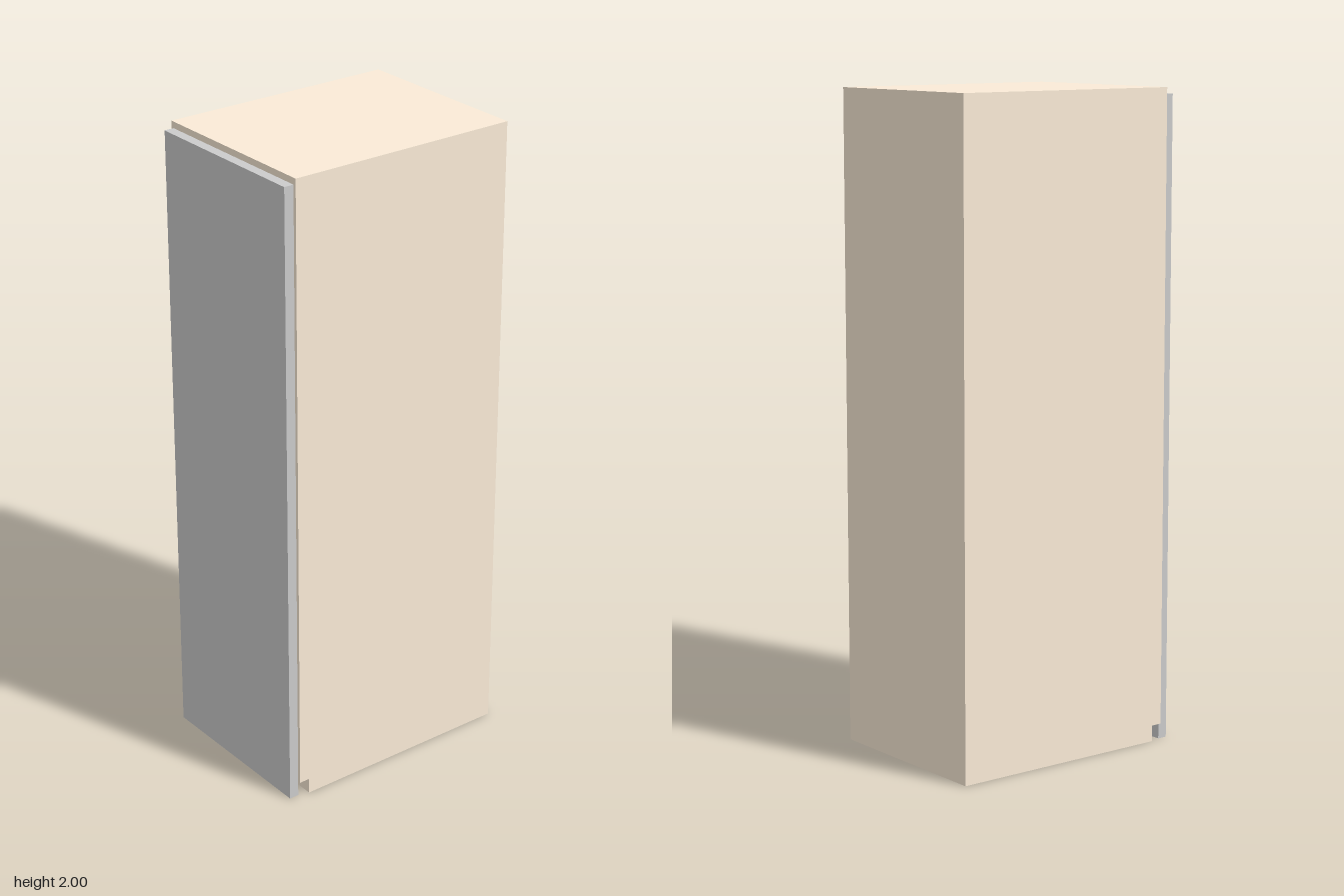
import * as THREE from 'three';

const HALF_W = 0.295, BACK = -0.393, FRONT = 0.362, DOOR_FRONT = 0.393;
const HEIGHT = 2, KICK_Z = 0.328, KICK_H = 0.05;

export function createModel() {
  const group = new THREE.Group();
  const tan = new THREE.MeshStandardMaterial({ color: 0xfaebd7 });
  const grey = new THREE.MeshStandardMaterial({ color: 0xcccccc });

  // Cabinet side profile (z, y) with the toe-kick notch, extruded across the width
  const profile = new THREE.Shape([
    [BACK, 0], [KICK_Z, 0], [KICK_Z, KICK_H],
    [FRONT, KICK_H], [FRONT, HEIGHT], [BACK, HEIGHT],
  ].map(([z, y]) => new THREE.Vector2(z, y)));
  const bodyGeometry = new THREE.ExtrudeGeometry(profile, { depth: 2 * HALF_W, bevelEnabled: false });
  bodyGeometry.translate(0, 0, -HALF_W).rotateY(-Math.PI / 2);
  const body = new THREE.Mesh(bodyGeometry, tan);
  body.name = 'cabinetBody';
  group.add(body);

  // Front door, slightly narrower and lower than the cabinet
  const doorH = 1.98, doorT = DOOR_FRONT - FRONT;
  const door = new THREE.Mesh(new THREE.BoxGeometry(0.57, doorH, doorT), grey);
  door.position.set(0, doorH / 2, FRONT + doorT / 2);
  door.name = 'door';
  group.add(door);

  return group;
}
